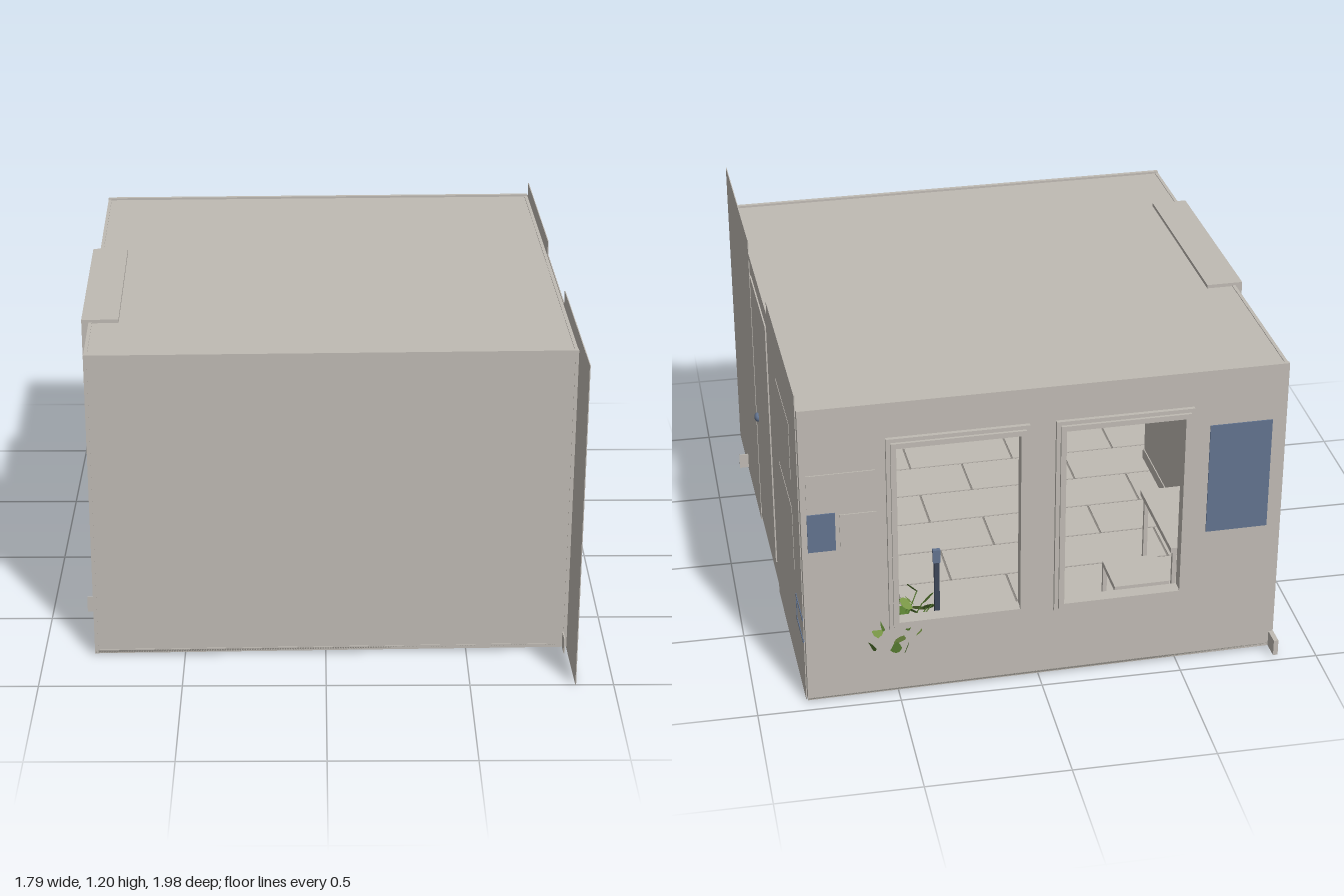
import * as THREE from 'three';

const mat = (name, color, side = THREE.FrontSide) => {
  const m = new THREE.MeshStandardMaterial({ color, side });
  m.name = name;
  return m;
};

export function createModel() {
  const plaster = mat('warm grey plaster', 0xbfbab3);
  const grout = mat('dark grout', 0x8a8680);
  const blue = mat('slate blue', 0x62738f);
  const dark = mat('dark blue', 0x3c4658);
  const green = mat('leaf green', 0x55792f, THREE.DoubleSide);
  const lightGreen = mat('light leaf green', 0x7c9a48, THREE.DoubleSide);

  const model = new THREE.Group();
  model.name = 'room';
  model.position.z = -0.087;
  model.rotation.y = 0.0233;

  const add = (name, geo, m, x = 0, y = 0, z = 0, parent = model) => {
    const mesh = new THREE.Mesh(geo, m);
    mesh.name = name;
    mesh.position.set(x, y, z);
    parent.add(mesh);
    return mesh;
  };
  // Box given by its limits on each axis
  const box = (name, m, x0, x1, y0, y1, z0, z1) =>
    add(name, new THREE.BoxGeometry(x1 - x0, y1 - y0, z1 - z0), m, (x0 + x1) / 2, (y0 + y1) / 2, (z0 + z1) / 2);
  const rod = (name, m, a, b, r, parent = model) => {
    const p = new THREE.Vector3(...a), q = new THREE.Vector3(...b), d = q.clone().sub(p);
    const mesh = add(name, new THREE.CylinderGeometry(r, r, d.length(), 8), m, 0, 0, 0, parent);
    mesh.position.copy(p).add(q).multiplyScalar(0.5);
    mesh.quaternion.setFromUnitVectors(new THREE.Vector3(0, 1, 0), d.normalize());
  };
  // Rectangular sheet with rectangular holes; limits are [x0, x1, y0, y1]
  const sheet = (name, m, outer, holes, z0, z1) => {
    const trace = (p, [x0, x1, y0, y1]) =>
      p.moveTo(x0, y0).lineTo(x1, y0).lineTo(x1, y1).lineTo(x0, y1).closePath();
    const s = trace(new THREE.Shape(), outer);
    holes.forEach(h => s.holes.push(trace(new THREE.Path(), h)));
    add(name, new THREE.ExtrudeGeometry(s, { depth: z1 - z0, bevelEnabled: false }), m, 0, 0, z0);
  };

  const W = 0.84, D = 0.85;

  // Floor: grout bed with staggered tiles showing above and below
  box('floorBed', grout, -W, W, 0.013, 0.021, -D, D);
  const rows = 8, len = 0.42, depth = 2 * D / rows, gap = 0.004;
  for (let r = 0; r < rows; r++) {
    for (let x = -W - (r % 2 ? len / 2 : 0); x < W - 0.01; x += len) {
      const z = -D + r * depth;
      box('floorTile', plaster, Math.max(x, -W) + gap, Math.min(x + len, W) - gap, 0.01, 0.025, z + gap, z + depth - gap);
    }
  }

  // Roof, front wall and side walls
  box('roof', plaster, -W, W, 1.125, 1.142, -D, D);
  box('frontWall', plaster, -W, W, 0.01, 1.125, D - 0.015, D - 0.002);
  box('frontTopTrim', plaster, -W, W, 1.125, 1.15, D - 0.015, D);
  box('frontBottomTrim', plaster, -W, W, 0.01, 0.025, D - 0.015, D);
  box('leftWall', plaster, -W, -W + 0.012, 0.01, 1.145, -D, D);
  box('rightWall', plaster, W - 0.012, W, 0.01, 1.145, -D, D);
  box('rightTopTrim', plaster, W, W + 0.004, 1.125, 1.15, -0.123, 0.407);

  // Full-height closet passing through the left wall
  box('closet', plaster, -0.865, -0.735, 0.025, 1.155, -0.218, 0.527);

  // Tall thin screens either side of the door
  box('frontScreen', plaster, W + 0.001, W + 0.004, 0, 1.2, 0.407, 1.107);
  box('backScreen', plaster, W + 0.001, W + 0.004, 0, 1.2, -0.83, -0.123);

  // Door with knobs on both sides
  box('door', plaster, W - 0.018, W + 0.005, 0.09, 1.07, -0.058, 0.377);
  for (const x of [W + 0.008, W - 0.03]) {
    add('doorKnob', new THREE.SphereGeometry(0.018, 16, 10), blue, x, 0.507, 0.317).scale.x = 0.7;
  }

  // Baseboards, running a little past the corners
  const base = (x0, x1, z0, z1) => box('baseboard', plaster, x0, x1, 0.01, 0.07, z0, z1);
  base(-W + 0.01, W + 0.04, 0.812, 0.816);
  base(W - 0.016, W - 0.012, 0.45, 0.9);
  base(W - 0.016, W - 0.012, -D, -0.123);
  base(-W - 0.001, -W + 0.016, -D - 0.065, -0.22);
  base(-W + 0.01, W, -D + 0.014, -D + 0.018);
  base(-W - 0.045, -0.73, -0.222, -0.218);
  base(-W - 0.045, -0.73, 0.527, 0.531);
  base(-0.735, -0.731, -0.22, 0.53);

  // Back wall with two framed windows
  const windows = [[-0.51, -0.03, 0.27, 1.02], [0.06, 0.55, 0.27, 1.02]];
  const inset = ([a, b, c, d], t) => [a + t, b - t, c + t, d - t];
  sheet('backWall', plaster, [-W, W, 0.01, 1.15], windows.map(w => inset(w, 0.025)), -D, -D + 0.014);
  for (const w of windows) {
    sheet('windowFrame', plaster, w, [inset(w, 0.03)], -D - 0.014, -D + 0.03);
    sheet('windowInnerFrame', plaster, inset(w, 0.014), [inset(w, 0.033)], -D - 0.024, -D - 0.014);
  }

  // Flat panels on the back wall
  const panels = [
    [plaster, 0.585, 0.82, 0.78, 0.905], [blue, 0.725, 0.82, 0.61, 0.755],
    [plaster, 0.585, 0.71, 0.62, 0.745], [blue, -0.79, -0.57, 0.52, 0.94],
  ];
  for (const [m, x0, x1, y0, y1] of panels) {
    box('wallPanel', m, x0, x1, y0, y1, -D - 0.004, -D + 0.018);
  }

  // Pictures and small rack on the right wall
  for (const [y0, y1] of [[0.78, 1.0], [0.42, 0.67]]) {
    box('picture', plaster, W - 0.02, W + 0.0055, y0, y1, -0.65, -0.32);
  }
  for (const y of [0.24, 0.285, 0.33]) {
    if (y !== 0.285) box('rackRail', blue, W - 0.05, W + 0.007, y - 0.004, y + 0.004, -0.83, -0.675);
  }
  box('rackPost', blue, W - 0.05, W + 0.007, 0.23, 0.34, -0.678, -0.672);

  // Ceiling lights
  for (const x of [-0.42, 0, 0.43]) {
    add('ceilingLight', new THREE.CylinderGeometry(0.03, 0.03, 0.012, 20), plaster, x, 1.118, -0.39);
  }

  // Desk and chair in the back left corner
  box('deskTop', plaster, -0.82, -0.46, 0.42, 0.44, -0.81, -0.4);
  for (const x of [-0.81, -0.485]) for (const z of [-0.8, -0.425]) {
    box('deskLeg', plaster, x, x + 0.015, 0.025, 0.42, z, z + 0.015);
  }
  box('chairSeat', plaster, -0.48, -0.28, 0.24, 0.26, -0.74, -0.56);
  for (const x of [-0.48, -0.295]) for (const z of [-0.74, -0.575]) {
    box('chairLeg', plaster, x, x + 0.015, 0.025, 0.24, z, z + 0.015);
  }

  // Potted plant by the window, a few leaves reaching outside
  const plant = new THREE.Group();
  plant.name = 'pottedPlant';
  plant.position.set(0.53, 0, -0.78);
  model.add(plant);
  const potProfile = [[0, 0.005], [0.036, 0.005], [0.05, 0.13], [0.042, 0.13], [0.04, 0.11], [0, 0.11]];
  add('pot', new THREE.LatheGeometry(potProfile.map(p => new THREE.Vector2(...p)), 20), plaster, 0, 0, 0, plant);
  const leafShape = new THREE.Shape().moveTo(0, 0)
    .bezierCurveTo(0.03, 0.015, 0.025, 0.045, 0, 0.065)
    .bezierCurveTo(-0.025, 0.045, -0.03, 0.015, 0, 0);
  const leafGeo = new THREE.ShapeGeometry(leafShape, 5);
  const leaf = (x, y, z, turn, tilt, i) => {
    const m = add('leaf', leafGeo, i % 3 ? green : lightGreen, x, y, z, plant);
    m.rotation.set(tilt, turn, i * 0.9, 'YXZ');
  };
  for (let i = 0; i < 18; i++) {
    const a = i * 2.4, r = 0.025 + 0.1 * ((i * 7) % 18) / 18, y = 0.2 + 0.14 * ((i * 5) % 18) / 18;
    const x = -0.06 + Math.cos(a) * r, z = Math.max(Math.sin(a) * r, -0.03);
    rod('stem', green, [0, 0.11, 0], [x, y, z], 0.002, plant);
    leaf(x, y, z, a, 0.7, i);
  }
  // Outer leaves
  const outer = [[0.06, 0.24], [0.045, 0.27], [0.07, 0.21], [-0.03, 0.24], [-0.045, 0.21], [-0.02, 0.2]];
  outer.forEach(([x, y], i) => leaf(x, y, -0.08 - 0.008 * (i % 3), i * 1.1, 0.35, i));

  // Slim stand with a leaning instrument beside the plant
  for (const [x, z] of [[0.3, -0.78], [0.43, -0.78], [0.37, -0.66]]) {
    rod('standLeg', dark, [x, 0.025, z], [0.365, 0.26, -0.74], 0.005);
  }
  const body = add('instrumentBody', new THREE.CylinderGeometry(0.05, 0.05, 0.022, 20), blue, 0.365, 0.17, -0.76);
  body.rotation.x = Math.PI / 2;
  body.scale.z = 1.4;
  const neck = add('instrumentNeck', new THREE.BoxGeometry(0.018, 0.28, 0.014), dark, 0.365, 0.36, -0.76);
  neck.name = 'instrumentNeck';
  box('instrumentHead', blue, 0.352, 0.378, 0.46, 0.51, -0.768, -0.752);

  return model;
}
